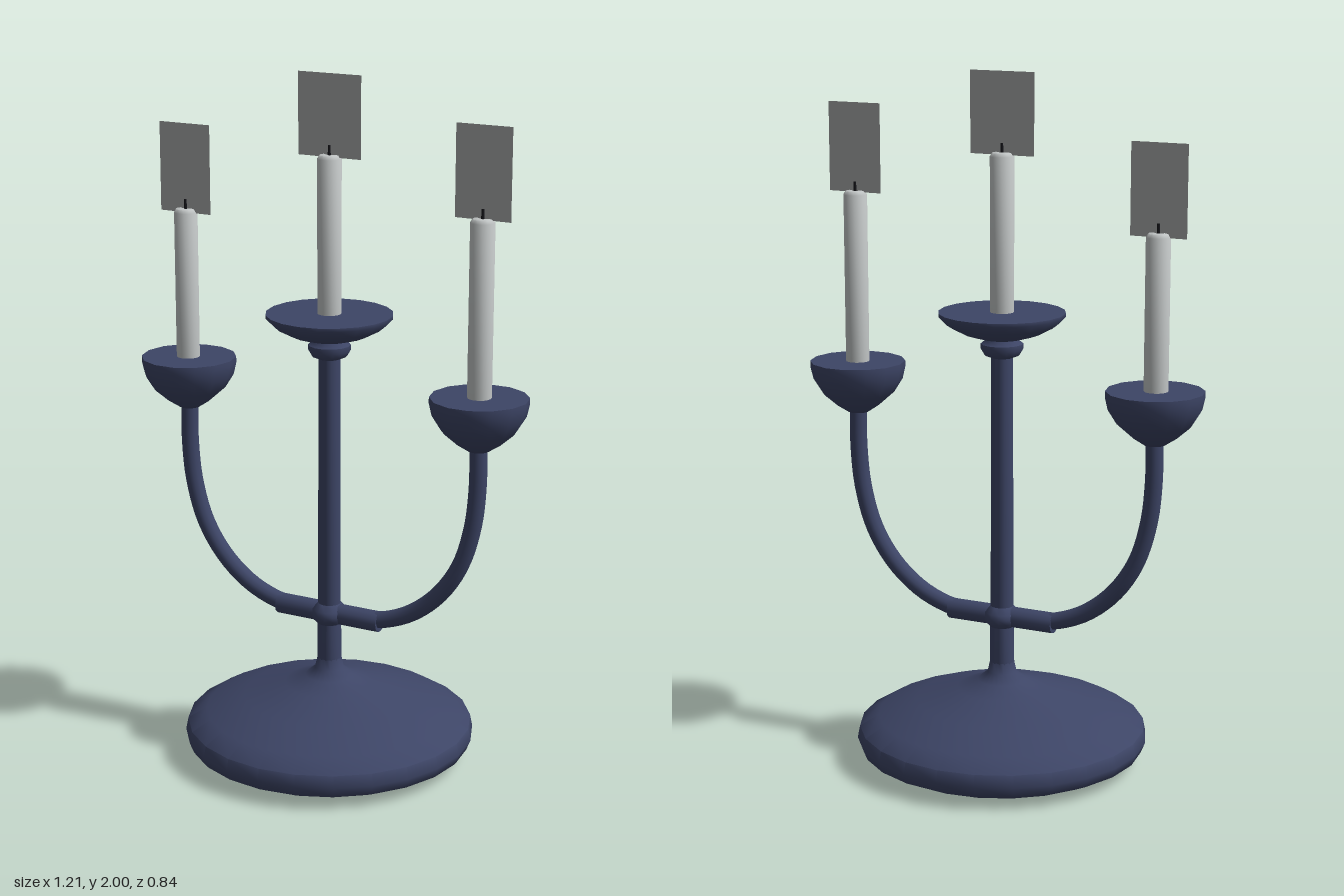
import * as THREE from 'three';
import { toCreasedNormals } from 'three/addons/utils/BufferGeometryUtils.js';

export function createModel() {
  const model = new THREE.Group();
  model.name = 'candelabra';
  const mat = (name, color, side = THREE.FrontSide) => {
    const m = new THREE.MeshStandardMaterial({ color, side });
    m.name = name;
    return m;
  };
  const navy = mat('navy metal', 0x3d4566);
  const wax = mat('pale wax', 0xc0c4c4);
  const black = mat('wick black', 0x15151a);
  const flameGrey = mat('flame grey', 0xa8abab, THREE.DoubleSide);

  const add = (name, geometry, material, parent = model) => {
    const mesh = new THREE.Mesh(geometry, material);
    mesh.name = name;
    parent.add(mesh);
    return mesh;
  };
  // Turned part from [radius, y] pairs, bottom to top
  const turned = (points, segments) => toCreasedNormals(
    new THREE.LatheGeometry(points.map(([r, y]) => new THREE.Vector2(r, y)), segments, Math.PI / 2), 0.85);

  // Weighted foot
  add('base', turned([
    [0, 0.005], [0.29, 0.005], [0.36, 0.02], [0.41, 0.045], [0.422, 0.075], [0.415, 0.11],
    [0.36, 0.143], [0.25, 0.185], [0.13, 0.222], [0.07, 0.245], [0.042, 0.268], [0.035, 0.3],
  ], 24), navy);

  // Central column with its collar and saucer
  add('lowerStem', turned([[0.036, 0.26], [0.034, 0.42]], 14), navy);
  add('stem', turned([[0.033, 0.4], [0.031, 1.26]], 14), navy);
  add('collar', turned([
    [0.031, 1.2], [0.05, 1.208], [0.06, 1.225], [0.06, 1.24], [0.045, 1.25], [0.04, 1.27],
  ], 14), navy);
  add('saucer', turned([
    [0, 1.253], [0.06, 1.256], [0.11, 1.271], [0.155, 1.295], [0.18, 1.32], [0.18, 1.33], [0, 1.33],
  ], 20), navy);

  // Hub and horizontal sleeve joining the arms
  add('hub', turned([
    [0.033, 0.405], [0.05, 0.422], [0.052, 0.436], [0.05, 0.45], [0.033, 0.468],
  ], 14), navy);
  const sleeve = add('sleeve', toCreasedNormals(new THREE.CylinderGeometry(0.03, 0.03, 0.33, 12), 0.85), navy);
  sleeve.rotation.z = Math.PI / 2;
  sleeve.position.y = 0.437;

  // Curved arms and their cups
  for (const [side, s] of [['left', 1], ['right', -1]]) {
    const path = new THREE.CatmullRomCurve3([
      [0.12, 0.437], [0.18, 0.447], [0.265, 0.483], [0.35, 0.553], [0.415, 0.65],
      [0.452, 0.77], [0.465, 0.89], [0.465, 1.02],
    ].map(([x, y]) => new THREE.Vector3(s * x, y, 0)));
    add(side + 'Arm', new THREE.TubeGeometry(path, 28, 0.025, 12), navy);
    const cup = add(side + 'Cup', turned([
      [0, 0.995], [0.03, 0.997], [0.065, 1.02], [0.105, 1.055], [0.13, 1.095],
      [0.138, 1.13], [0.138, 1.148], [0, 1.148],
    ], 14), navy);
    cup.position.x = s * 0.465;
  }

  // Candle with wick and a flat flame card
  const candle = (name, x, bottom, top, cardWidth, cardBottom, cardTop) => {
    const group = new THREE.Group();
    group.name = name;
    group.position.x = x;
    model.add(group);
    add('wax', turned([
      [0.034, bottom], [0.034, top - 0.012], [0.028, top - 0.002], [0.018, top], [0, top - 0.003],
    ], 16), wax, group);
    const wick = add('wick', new THREE.CylinderGeometry(0.004, 0.005, 0.03, 6), black, group);
    wick.position.y = top + 0.01;
    const card = add('flameCard', new THREE.PlaneGeometry(cardWidth, cardTop - cardBottom), flameGrey, group);
    card.position.y = (cardTop + cardBottom) / 2;
  };
  candle('centerCandle', 0, 1.32, 1.778, 0.195, 1.77, 2.0);
  candle('leftCandle', 0.465, 1.14, 1.645, 0.165, 1.64, 1.895);
  candle('rightCandle', -0.467, 1.14, 1.585, 0.165, 1.572, 1.828);

  return model;
}
